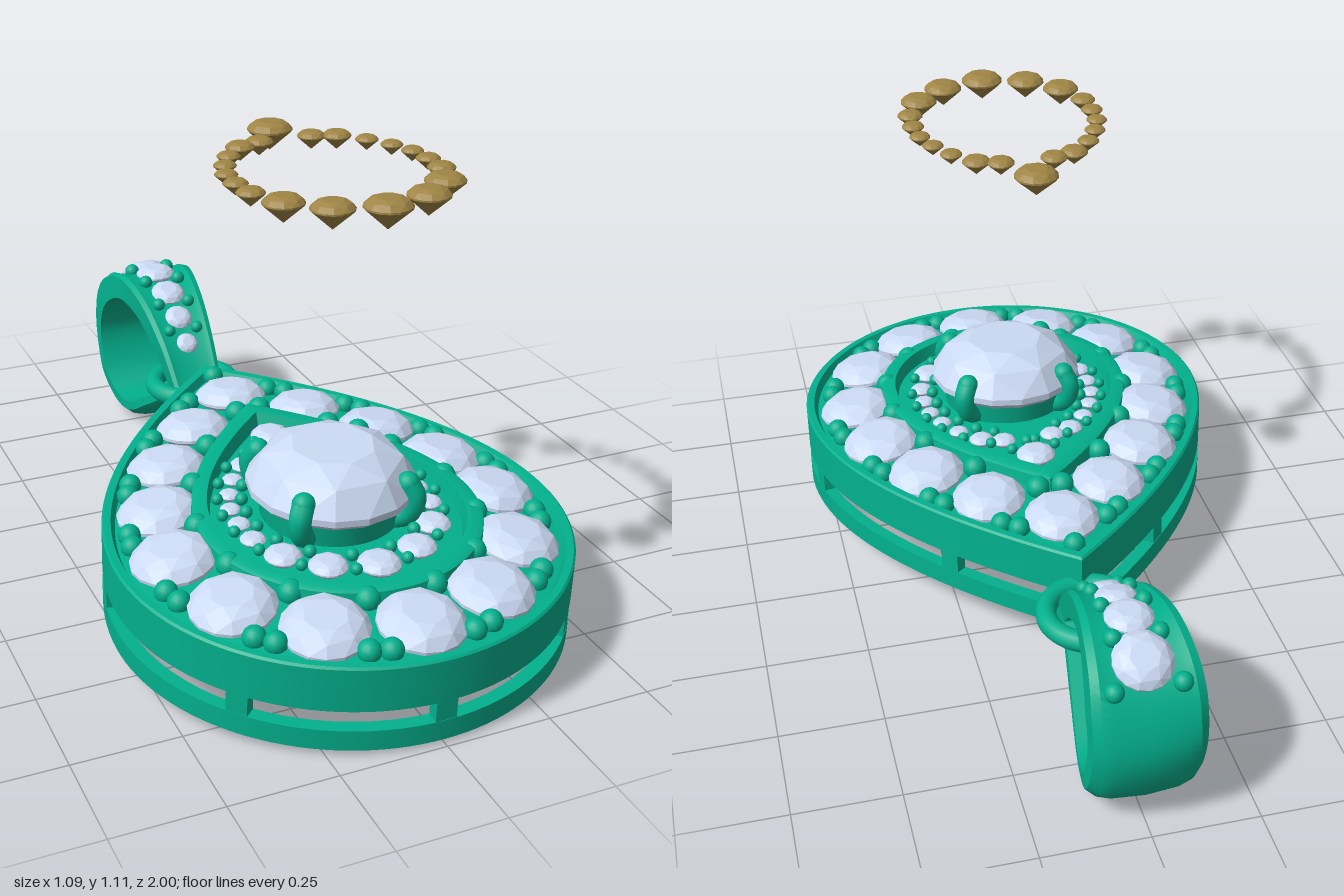
import * as THREE from 'three';
import { toCreasedNormals } from 'three/addons/utils/BufferGeometryUtils.js';
import { ConvexGeometry } from 'three/addons/geometries/ConvexGeometry.js';

const V = (x, y, z) => new THREE.Vector3(x, y, z);
const UP = V(0, 1, 0);

// Surface swept by fn(u, j): u runs 0..1 along the path, j over a closed section
function loft(nu, nv, fn) {
  const pos = [], idx = [];
  for (let i = 0; i <= nu; i++) for (let j = 0; j < nv; j++) pos.push(...fn(i / nu, j));
  for (let i = 0; i < nu; i++) for (let j = 0; j < nv; j++) {
    const k = (j + 1) % nv, a = i * nv + j, d = i * nv + k, b = a + nv, c = d + nv;
    idx.push(a, d, b, d, c, b);
  }
  const g = new THREE.BufferGeometry();
  g.setAttribute('position', new THREE.Float32BufferAttribute(pos, 3));
  g.setIndex(idx);
  return toCreasedNormals(g, 0.5);
}

// Teardrop outline: two mirrored curves from the tip, closed by a half circle
function tear(u, R, cz, tip) {
  const sign = u <= 0.5 ? 1 : -1, v = u <= 0.5 ? u * 2 : 2 - u * 2, H = cz - tip;
  if (v >= 0.5) {
    const a = (v - 0.5) * Math.PI;
    return [sign * R * Math.cos(a), cz + R * Math.sin(a)];
  }
  const t = v * 2, m = 1 - t;
  const bez = (a, b, c, d) => m * m * m * a + 3 * m * m * t * b + 3 * m * t * t * c + t * t * t * d;
  return [sign * bez(0, 0.41 * R, R, R), bez(tip, tip + 0.22 * H, cz - 0.41 * H, cz)];
}

// s = 0 outer outline, 1 inner frame, 2 round opening below the centre stone
const CENTRE_Z = 0.4;
function plan(u, s) {
  const o = tear(u, 0.543, 0.45, -0.41), i = tear(u, 0.305, 0.445, -0.06);
  const a = Math.atan2(i[1] - CENTRE_Z, i[0]);
  const c = [0.15 * Math.cos(a), CENTRE_Z + 0.15 * Math.sin(a)];
  const [p, q, f] = s <= 1 ? [o, i, s] : [i, c, s - 1];
  return [p[0] + (q[0] - p[0]) * f, p[1] + (q[1] - p[1]) * f];
}
const sweep = (profile) => loft(128, profile.length, (u, j) => {
  const [x, z] = plan(u, profile[j][0]);
  return [x, profile[j][1], z];
});

// Faceted brilliant of unit radius with its girdle at y = 0
function brilliant(crown, pavilion) {
  const pts = [V(0, -pavilion, 0)];
  const ring = (n, r, y, off) => {
    for (let i = 0; i < n; i++) {
      const a = (i + off) / n * Math.PI * 2;
      pts.push(V(r * Math.cos(a), y, r * Math.sin(a)));
    }
  };
  ring(8, 0.5, crown, 0);
  ring(8, 0.82, crown * 0.68, 0.5);
  ring(16, 1, 0.04, 0);
  ring(16, 1, -0.04, 0);
  return new ConvexGeometry(pts);
}

// [x, z, radius], mirrored wherever x > 0
const LARGE = [[0, -0.22, 0.092], [0.155, -0.09, 0.092], [0.285, 0.07, 0.097], [0.372, 0.255, 0.099],
  [0.408, 0.45, 0.099], [0.35, 0.66, 0.099], [0.2, 0.805, 0.099], [0, 0.86, 0.099]];
const SMALL = [[0, 0.05, 0.053], [0.065, 0.14, 0.033], [0.12, 0.16, 0.034], [0.17, 0.215, 0.027],
  [0.203, 0.275, 0.026], [0.224, 0.335, 0.026], [0.229, 0.4, 0.028], [0.224, 0.47, 0.032],
  [0.187, 0.555, 0.046], [0.11, 0.627, 0.048], [0, 0.658, 0.053]];
const BAIL = [[-0.89, 0.068], [-0.78, 0.055], [-0.675, 0.047], [-0.59, 0.038], [-0.525, 0.03]];

export function createModel() {
  const metal = new THREE.MeshStandardMaterial({ color: 0x02b08d });
  const pale = new THREE.MeshStandardMaterial({ color: 0xcbdaf4, flatShading: true });
  const gold = new THREE.MeshStandardMaterial({ color: 0xa08545, flatShading: true });
  const gem = brilliant(0.38, 0.95), ball = new THREE.SphereGeometry(1, 14, 10);
  const root = new THREE.Group(), pendant = new THREE.Group();
  root.name = 'necklacePendant';
  pendant.name = 'pendant';

  const add = (parent, name, geo, mat, p = V(0, 0, 0)) => {
    const m = new THREE.Mesh(geo, mat);
    m.name = name;
    m.position.copy(p);
    parent.add(m);
    return m;
  };
  const stone = (parent, name, mat, p, r, normal = UP) => {
    const m = add(parent, name, gem, mat, p);
    m.scale.setScalar(r);
    m.quaternion.setFromUnitVectors(UP, normal.clone().normalize());
  };
  const bead = (parent, name, x, y, z, r) => add(parent, name, ball, metal, V(x, y, z)).scale.setScalar(r);
  const sides = (x) => (x > 0 ? [1, -1] : [1]);

  // Frame: open lower rail, and upper body with stone bed, inner frame, halo floor and domed underside
  add(pendant, 'lowerRail', sweep([[0, 0], [0, 0.05], [0.13, 0.05], [0.13, 0]]), metal);
  add(pendant, 'upperBody', sweep([[0, 0.1], [0, 0.205], [0.02, 0.21], [0.09, 0.21], [0.13, 0.19],
    [0.86, 0.215], [0.88, 0.245], [0.92, 0.25], [1.05, 0.25], [1.1, 0.215], [2, 0.225],
    [2, 0.16], [1, 0.132], [0.13, 0.105], [0.12, 0.1]]), metal);

  // Posts between rail and body
  for (const u of [0.004, 0.093, 0.222, 0.367, 0.5]) {
    for (const w of u === 0.5 ? [u] : [u, 1 - u]) {
      const [x, z] = plan(w, 0.065), p = plan(w - 0.003, 0.065), q = plan(w + 0.003, 0.065);
      const post = add(pendant, 'galleryPost', new THREE.BoxGeometry(0.05, 0.07, 0.029), metal, V(x, 0.075, z));
      post.rotation.y = Math.atan2(p[1] - q[1], q[0] - p[0]);
    }
  }

  // Outer row of stones, leaning outward
  for (const [x, z, r] of LARGE) for (const s of sides(x)) {
    const out = V(x * s, 0, z - CENTRE_Z).normalize().multiplyScalar(0.13);
    stone(pendant, 'outerStone', pale, V(x * s, 0.21, z), r, out.add(UP));
  }
  // Halo stones in the bed, and the same row lifted clear above the pendant
  for (const [x, z, r] of SMALL) for (const s of sides(x)) {
    stone(pendant, 'haloStone', pale, V(x * s, 0.232, z), r * 0.95);
    stone(root, 'liftedHaloStone', gold, V(x * s, 1.09, z), r);
  }

  // Beads holding neighbouring stones, on both sides of each gap
  const beadRow = (row, gap, spread, r, yOut, yIn, name) => {
    for (let i = 0; i + 1 < row.length; i++) {
      const [ax, az] = row[i], [bx, bz] = row[i + 1], L = Math.hypot(bx - ax, bz - az);
      const tx = (bx - ax) / L, tz = (bz - az) / L, mx = (ax + bx) / 2, mz = (az + bz) / 2;
      for (const s of [1, -1]) {
        for (const k of spread) {
          bead(pendant, name, s * (mx + tz * gap + tx * k), yOut, mz - tx * gap + tz * k, r);
        }
        bead(pendant, name, s * (mx - tz * gap * 0.9), yIn, mz + tx * gap * 0.9, r * 1.1);
      }
    }
  };
  beadRow(LARGE, 0.08, [-0.024, 0.024], 0.027, 0.203, 0.226, 'outerBead');
  beadRow(SMALL, 0.03, [0], 0.014, 0.24, 0.24, 'haloBead');
  bead(pendant, 'tipBead', 0, 0.208, -0.34, 0.027);

  // Centre setting: basket, stone and four claws
  const basket = [[0.13, 0.14], [0.19, 0.14], [0.19, 0.18], [0.165, 0.22], [0.175, 0.29],
    [0.15, 0.29], [0.125, 0.22], [0.13, 0.14]].map(([x, y]) => new THREE.Vector2(x, y));
  add(pendant, 'centreBasket', toCreasedNormals(new THREE.LatheGeometry(basket, 48), 0.5), metal, V(0, 0, CENTRE_Z));
  add(pendant, 'centreStone', brilliant(0.48, 0.87), pale, V(0, 0.303, CENTRE_Z)).scale.setScalar(0.2);
  const clawPath = new THREE.CatmullRomCurve3([V(0.15, 0.235, 0), V(0.19, 0.262, 0), V(0.202, 0.305, 0), V(0.184, 0.338, 0)]);
  const clawGeo = new THREE.TubeGeometry(clawPath, 14, 0.027, 10);
  for (let i = 0; i < 4; i++) {
    const claw = new THREE.Group();
    claw.name = 'centreClaw';
    add(claw, 'clawShaft', clawGeo, metal);
    bead(claw, 'clawTip', 0.184, 0.338, 0, 0.027);
    claw.position.z = CENTRE_Z;
    claw.rotation.y = Math.PI / 4 + i * Math.PI / 2;
    pendant.add(claw);
  }
  pendant.rotation.x = 0.06;
  pendant.position.set(0, 0.071, -0.004);
  root.add(pendant);

  // Link ring
  const link = add(root, 'linkRing', new THREE.TorusGeometry(0.107, 0.025, 14, 48), metal, V(0, 0.215, -0.49));
  link.rotation.x = Math.PI / 2;

  // Bail: drop-shaped loop, widening to the back, channelled on top and rounded underneath
  const curve = (pts) => new THREE.CatmullRomCurve3(pts.map(([z, y]) => V(0, y, z)));
  const outer = curve([[-0.43, 0.21], [-0.53, 0.325], [-0.66, 0.412], [-0.8, 0.44], [-0.93, 0.38],
    [-0.998, 0.23], [-0.955, 0.085], [-0.85, 0.01], [-0.76, 0.006], [-0.62, 0.08], [-0.43, 0.2]]);
  const inner = curve([[-0.5, 0.21], [-0.58, 0.285], [-0.69, 0.355], [-0.79, 0.372], [-0.88, 0.325],
    [-0.925, 0.225], [-0.89, 0.115], [-0.83, 0.062], [-0.76, 0.056], [-0.65, 0.115], [-0.5, 0.205]]);
  const across = [-1, -1, -0.84, -0.6, 0, 0.6, 0.84, 1, 1];
  const channel = [0, 0.92, 1, 0.9, 0.9, 0.9, 1, 0.92, 0];
  const rounded = [0, 0.5, 0.78, 0.92, 1, 0.92, 0.78, 0.5, 0];
  add(root, 'bailLoop', loft(80, across.length, (u, j) => {
    const p = outer.getPoint(u), q = inner.getPoint(u);
    const k = THREE.MathUtils.smoothstep(u, 0.36, 0.55);
    const w = 0.067 + 0.06 * Math.min(1, (-0.43 - p.z) / 0.53);
    const e = q.lerp(p, THREE.MathUtils.lerp(channel[j], rounded[j], k));
    return [across[j] * w, e.y, e.z];
  }), metal);

  // Bail stones and their beads along the upper face
  const onBail = (z) => {
    let t = 0;
    while (t < 0.5 && outer.getPoint(t).z > z) t += 0.002;
    const d = outer.getTangent(t);
    return [outer.getPoint(t), V(0, -d.z, d.y)];
  };
  BAIL.forEach(([z, r], i) => {
    const [p, n] = onBail(z);
    stone(root, 'bailStone', pale, p.addScaledVector(n, -0.004), r, n);
    const edge = i ? (z + BAIL[i - 1][0]) / 2 : -0.935;
    const [b] = onBail(edge);
    for (const s of [1, -1]) bead(root, 'bailBead', s * (i ? r * 0.5 + 0.025 : 0.075), b.y, b.z, 0.012 + r * 0.15);
  });
  return root;
}
